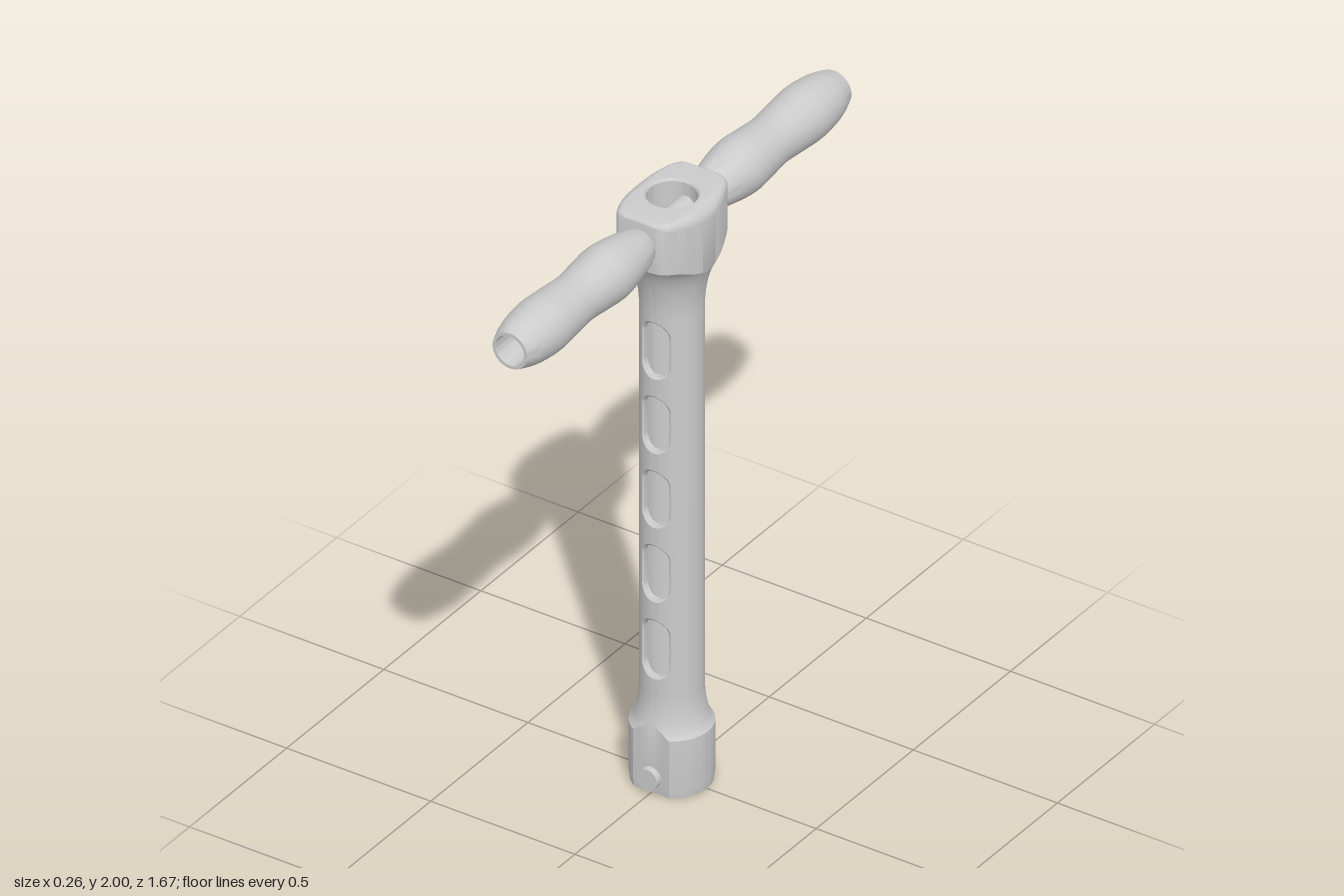
import * as THREE from 'three';
import { mergeGeometries, toCreasedNormals } from 'three/addons/utils/BufferGeometryUtils.js';

const SHAFT = 0.095, BORE = 0.075;   // outer and inner shaft radius
const Y0 = 0.33, Y1 = 1.62;          // straight part of the shaft
const SLOTS = [[0.485, 0.102], [0.745, 0.098], [1.0, 0.098], [1.255, 0.098], [1.51, 0.098]]; // centre, half height
const N = 20;                        // segments across a slot end

// Surface from a rule: at(i, j) gives [x, y, z]; i runs sideways, j runs along
function grid(cols, rows, at) {
  const pos = [], idx = [];
  for (let j = 0; j <= rows; j++) for (let i = 0; i <= cols; i++) pos.push(...at(i, j));
  for (let j = 0; j < rows; j++) for (let i = 0; i < cols; i++) {
    const a = j * (cols + 1) + i, b = a + cols + 1;
    idx.push(a, a + 1, b + 1, a, b + 1, b);
  }
  const g = new THREE.BufferGeometry();
  g.setAttribute('position', new THREE.Float32BufferAttribute(pos, 3));
  g.setIndex(idx);
  return g;
}

// Sweep a profile that may change with the angle around the y axis
function sweep(profile, segments = 96) {
  const columns = [];
  for (let i = 0; i <= segments; i++) {
    const t = ((i % segments) / segments) * Math.PI * 2;
    columns.push(profile(t).map(([r, y]) => [r * Math.sin(t), y, r * Math.cos(t)]));
  }
  return grid(segments, columns[0].length - 1, (i, j) => columns[i][j]);
}

const onTube = (x, y, r) => [x, y, Math.sqrt(r * r - x * x)];

// Slotted wall of one half of the tube, w = half slot width, trim = slot inset
function tubeSkin(r, w, trim, inward) {
  const parts = [];
  const edge = (k, i, side) => {
    if (k < 0) return Y0;
    if (k >= SLOTS.length) return Y1;
    const [c, h] = SLOTS[k];
    return c + side * (h - trim - w + w * Math.sin((Math.PI * i) / N));
  };
  const flip = (i, n) => (inward ? n - i : i);
  // webs below, between and above the slots
  for (let k = 0; k <= SLOTS.length; k++) {
    parts.push(grid(N, 1, (c, j) => {
      const i = flip(c, N);
      return onTube(-w * Math.cos((Math.PI * i) / N), j ? edge(k, i, -1) : edge(k - 1, i, 1), r);
    }));
  }
  // plain side
  const a = Math.asin(w / r);
  parts.push(grid(32, 1, (c, j) => {
    const t = a + (flip(c, 32) / 32) * (Math.PI - 2 * a);
    return [r * Math.sin(t), j ? Y1 : Y0, r * Math.cos(t)];
  }));
  return parts;
}

// Bevelled rim and wall of a slot
function slotWall([c, h]) {
  const rings = [[0.05, SHAFT, h], [0.043, 0.089, h - 0.007], [0.043, BORE, h - 0.007]];
  const count = 2 * (N + 1);
  return grid(count, 2, (i, j) => {
    const [w, r, hh] = rings[j], m = i % count, top = m <= N;
    const a = (Math.PI * (top ? m : m - 1)) / N;
    return onTube(w * Math.cos(a), c + (top ? 1 : -1) * (hh - w) + w * Math.sin(a), r);
  });
}

function shaftGeometry() {
  const half = [...tubeSkin(SHAFT, 0.05, 0, false), ...tubeSkin(BORE, 0.043, 0.007, true), ...SLOTS.map(slotWall)];
  const parts = [...half, ...half.map(g => g.clone().rotateY(Math.PI))];
  return toCreasedNormals(mergeGeometries(parts), 0.5);
}

// Elliptic flare from the shaft radius out to a limit
function flare(limit, reach, y, height) {
  const end = Math.acos((reach - limit) / (reach - SHAFT)), pts = [];
  for (let k = 0; k <= 14; k++) {
    const a = (end * k) / 14;
    pts.push([reach - (reach - SHAFT) * Math.cos(a), y + height * Math.sin(a)]);
  }
  return pts;
}

// Head: flare cut by a block with bowed sides and flat ends, rolled top, round hole
function headProfile(t) {
  const s = Math.abs(Math.sin(t)), c = Math.abs(Math.cos(t));
  const bow = 0.26 / (s + Math.sqrt(s * s + 0.867 * c * c));
  const flat = 0.17 / Math.max(c, 1e-4);
  const limit = Math.pow(Math.pow(bow, -18) + Math.pow(flat, -18), -1 / 18);
  const pts = flare(limit, 0.19, Y1, 0.215);
  const d = 0.013 + 0.03 * s * s;
  for (let k = 0; k <= 8; k++) {
    const a = (Math.PI * k) / 16;
    pts.push([limit - d * (1 - Math.cos(a)), 2 - d * (1 - Math.sin(a))]);
  }
  pts.push([0.081, 2], [BORE, 1.993], [BORE, Y1]);
  return pts;
}

// Socket: flare to a round foot with flats at front and back, open underneath
function socketProfile(t) {
  const limit = Math.min(0.125, 0.10825 / Math.max(Math.abs(Math.cos(t)), 1e-4));
  return [[BORE, Y0], [BORE, 0.2], [0.098, 0.2], [0.098, 0], [limit - 0.004, 0], [limit, 0.03],
    ...flare(limit, 0.14, Y0, -0.14).reverse()];
}

// Hand grip with two swells and a blind hole in its end, along +z
function gripGeometry() {
  const outline = [[0.052, 0.155], [0.072, 0.22], [0.09, 0.33], [0.085, 0.42], [0.079, 0.5],
    [0.085, 0.59], [0.09, 0.68], [0.08, 0.77], [0.06, 0.835]];
  const pts = new THREE.SplineCurve(outline.map(p => new THREE.Vector2(...p))).getPoints(48);
  for (const p of [[0.05, 0.835], [0.05, 0.7], [0, 0.7]]) pts.push(new THREE.Vector2(...p));
  const g = new THREE.LatheGeometry(pts, 48).rotateX(Math.PI / 2);
  return toCreasedNormals(g, 0.6);
}

export function createModel() {
  const group = new THREE.Group();
  const material = new THREE.MeshStandardMaterial({ color: 0xcccccc, side: THREE.DoubleSide });
  const add = (name, geometry) => {
    const mesh = new THREE.Mesh(geometry, material);
    mesh.name = name;
    group.add(mesh);
    return mesh;
  };

  add('shaft', shaftGeometry());
  add('head', toCreasedNormals(sweep(headProfile, 144), 0.5));
  add('socket', toCreasedNormals(sweep(socketProfile), 0.4));

  // cross rod through the head, with a grip on each end
  add('crossRod', new THREE.CylinderGeometry(0.04, 0.04, 0.36, 32).rotateX(Math.PI / 2)).position.y = 1.91;
  add('frontGrip', gripGeometry()).position.y = 1.91;
  add('backGrip', gripGeometry().rotateY(Math.PI)).position.y = 1.91;

  // pin across the socket, proud at the front
  add('socketPin', new THREE.CylinderGeometry(0.035, 0.035, 0.24, 32).rotateX(Math.PI / 2)).position.set(0, 0.055, 0.01);
  return group;
}
